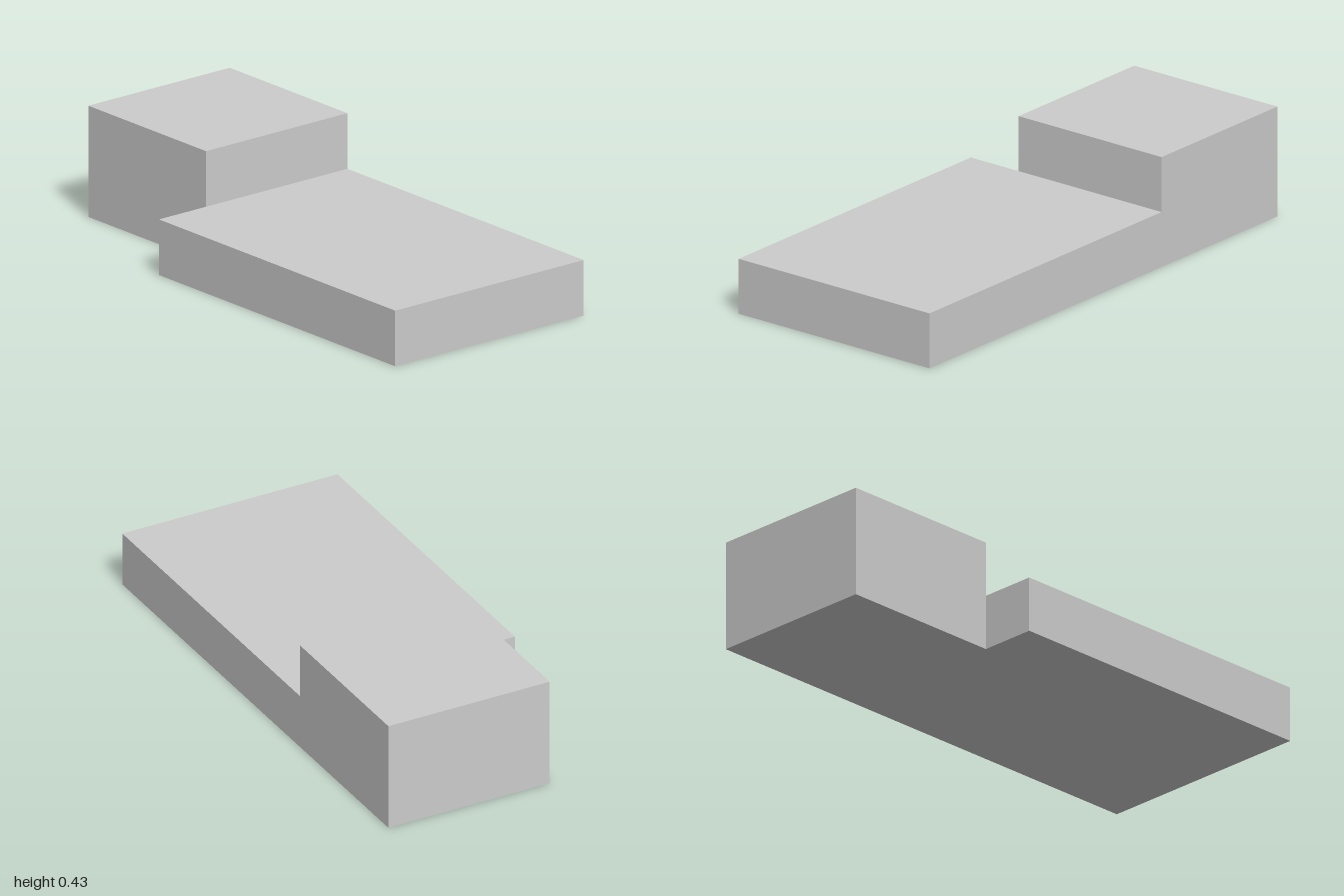
import * as THREE from 'three';

const material = new THREE.MeshStandardMaterial({ color: 0xcccccc, flatShading: true });

// Box given by its lower and upper corners
function block(name, [x0, y0, z0], [x1, y1, z1]) {
  const geometry = new THREE.BoxGeometry(x1 - x0, y1 - y0, z1 - z0);
  const mesh = new THREE.Mesh(geometry, material);
  mesh.position.set((x0 + x1) / 2, (y0 + y1) / 2, (z0 + z1) / 2);
  mesh.name = name;
  return mesh;
}

export function createModel() {
  const group = new THREE.Group();
  group.name = 'steppedBlocks';

  const back = -0.444;
  const seam = -0.335;

  // Tall block, flush with the low slab at the back
  group.add(block('tallBlock', [-1, 0, back], [seam, 0.425, 0.222]));

  // Long low slab, half as tall and reaching further forward
  group.add(block('lowSlab', [seam, 0, back], [1, 0.2125, 0.444]));

  return group;
}
